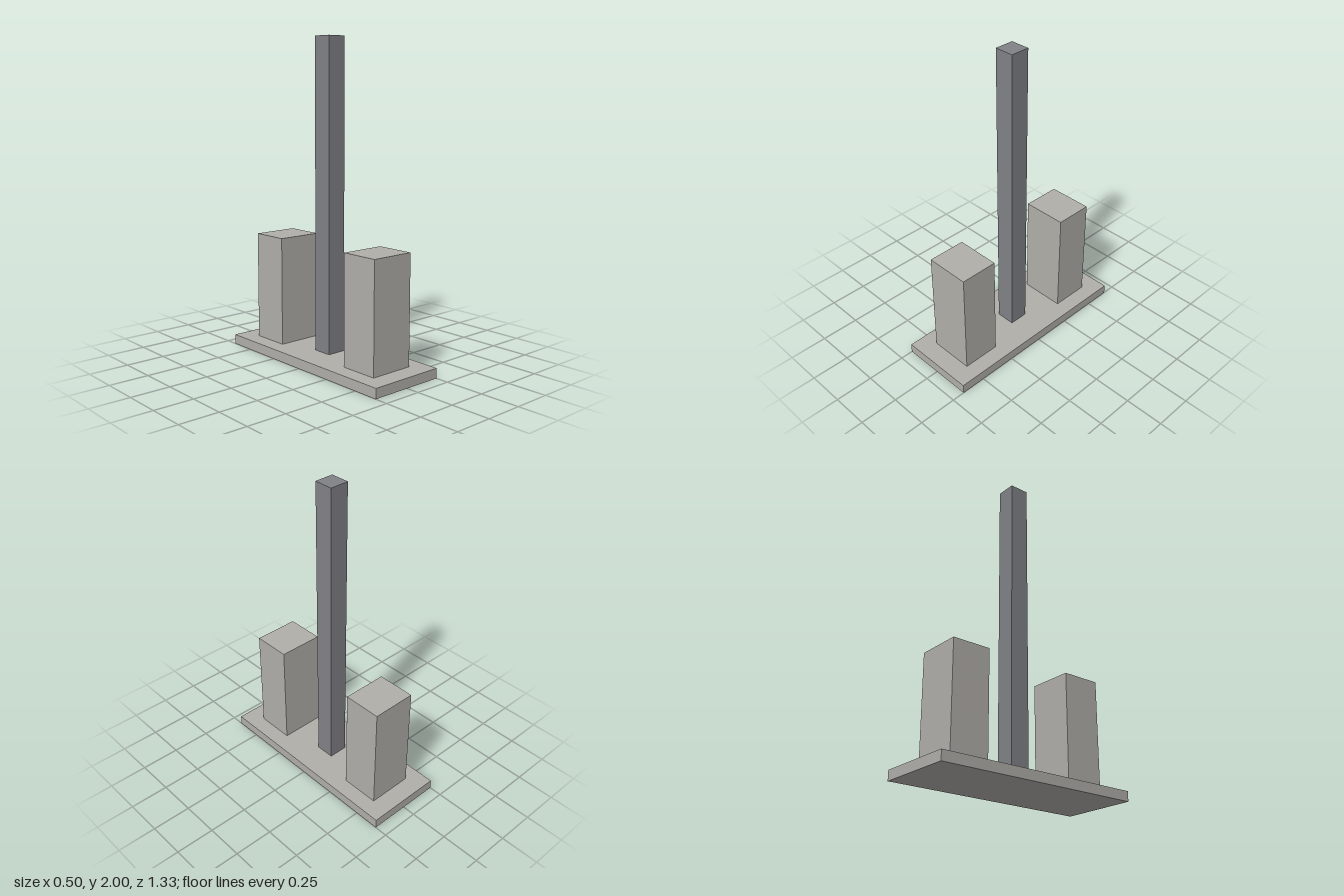
import * as THREE from 'three';

const stone = new THREE.MeshStandardMaterial({ color: 0xb0aea9 });
stone.name = 'warm grey stone';
const steel = new THREE.MeshStandardMaterial({ color: 0x808186 });
steel.name = 'dark grey steel';

// Box standing on height y
function block(name, w, h, d, y, z, material) {
  const mesh = new THREE.Mesh(new THREE.BoxGeometry(w, h, d), material);
  mesh.name = name;
  mesh.position.set(0, y + h / 2, z);
  return mesh;
}

export function createModel() {
  const model = new THREE.Group();
  model.name = 'postWithBlocks';
  const baseH = 0.0625;

  // Base slab and tall central post
  model.add(block('base', 0.5, baseH, 1.333, 0, 0, stone));
  model.add(block('post', 0.125, 2 - baseH, 0.125, baseH, 0, steel));

  // Matching blocks in front of and behind the post
  for (const side of [1, -1]) {
    const name = side > 0 ? 'frontBlock' : 'backBlock';
    model.add(block(name, 0.292, 0.75 - baseH, 0.25, baseH, side * 0.417, stone));
  }
  return model;
}
